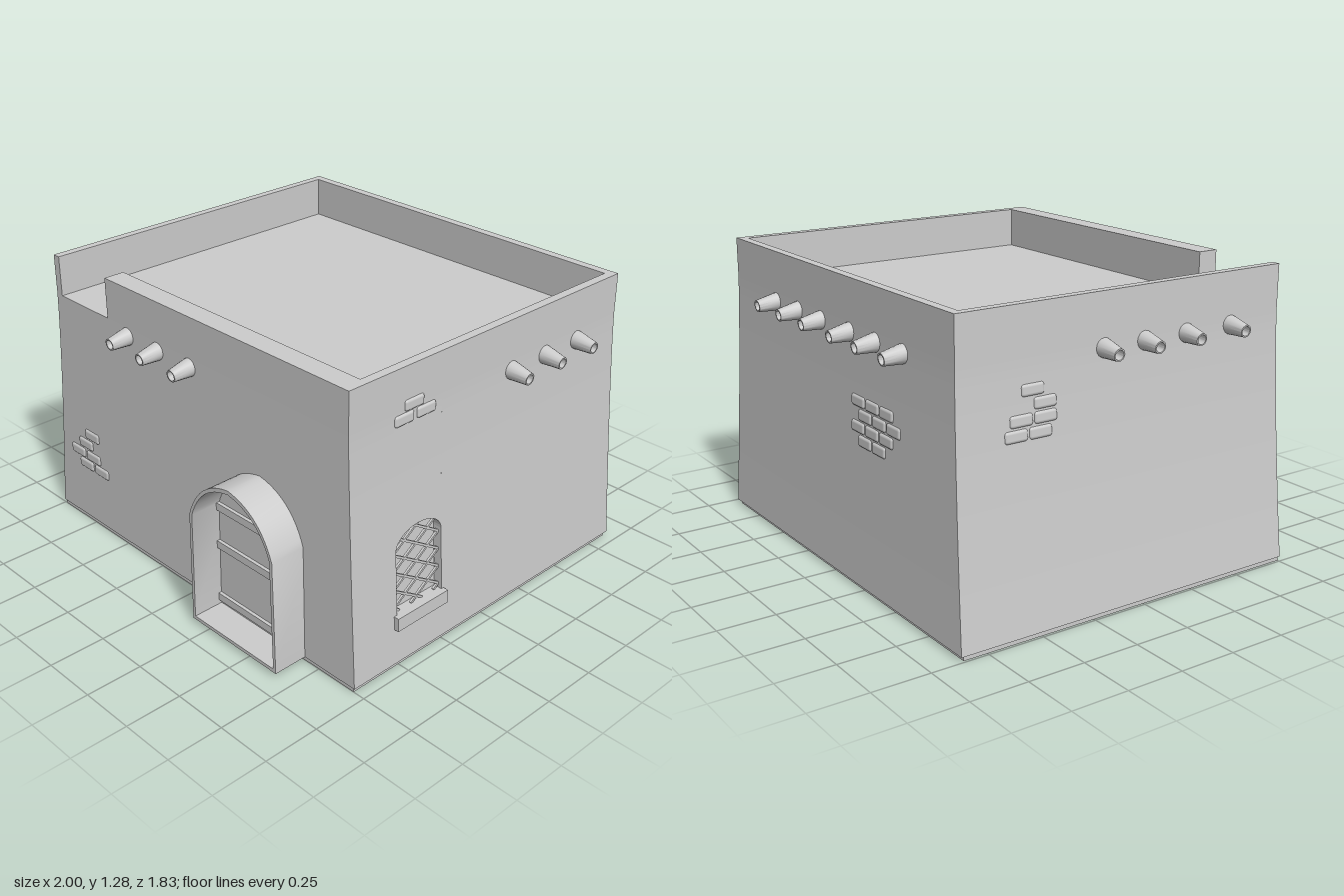
import * as THREE from 'three';
import { toCreasedNormals } from 'three/addons/utils/BufferGeometryUtils.js';
import { RoundedBoxGeometry } from 'three/addons/geometries/RoundedBoxGeometry.js';
import { ParametricGeometry } from 'three/addons/geometries/ParametricGeometry.js';

const grey = new THREE.MeshStandardMaterial({ color: 0xcccccc });
const greyDouble = new THREE.MeshStandardMaterial({ color: 0xcccccc, side: THREE.DoubleSide });

const ROOF = 1.1, TOP = 1.28, BASE = 0.02;
// Outward distance of each wall at height y: battered below the roof, upright above
const flare = (y, p) => Math.pow(Math.max(0, 1 - y / ROOF), p);
const walls = {
  front: { out: y => 0.745 + 0.01 * flare(y, 1), turn: 0 },
  right: { out: y => 0.9 + 0.055 * flare(y, 1.2), turn: Math.PI / 2 },
  back: { out: y => 0.828 + 0.042 * flare(y, 1.2), turn: Math.PI },
  left: { out: y => 0.905 + 0.095 * flare(y, 1.4), turn: -Math.PI / 2 },
};
const xR = walls.right.out, zF = walls.front.out;
const xL = y => -walls.left.out(y), zB = y => -walls.back.out(y);
const lerp = THREE.MathUtils.lerp;

// Window opening in the +x wall
const WIN = { z: 0.383, half: 0.128, sill: 0.24, spring: 0.52, rise: 0.08 };
const winTop = z => WIN.spring + WIN.rise * Math.sqrt(Math.max(0, 1 - ((z - WIN.z) / WIN.half) ** 2));

function add(parent, name, geometry, x = 0, y = 0, z = 0, material = grey) {
  const mesh = new THREE.Mesh(geometry, material);
  mesh.name = name;
  mesh.position.set(x, y, z);
  parent.add(mesh);
  return mesh;
}

function surface(parent, name, fn, nu, nv, material = grey) {
  return add(parent, name, new ParametricGeometry((u, v, p) => p.set(...fn(u, v)), nu, nv), 0, 0, 0, material);
}

// Group sitting on a wall, its z axis pointing outwards; along = world x or z
function onWall(parent, side, along, y) {
  const { out, turn } = walls[side];
  const g = new THREE.Group();
  const d = out(y);
  if (side === 'front' || side === 'back') g.position.set(along, y, side === 'front' ? d : -d);
  else g.position.set(side === 'right' ? d : -d, y, along);
  g.rotation.y = turn;
  parent.add(g);
  return g;
}

function buildWalls(root) {
  const g = new THREE.Group();
  g.name = 'walls';
  root.add(g);
  const h = v => lerp(BASE, ROOF, v);
  surface(g, 'frontWall', (u, v) => [lerp(xL(h(v)), xR(h(v)), u), h(v), zF(h(v))], 1, 12);
  surface(g, 'backWall', (u, v) => [lerp(xR(h(v)), xL(h(v)), u), h(v), zB(h(v))], 1, 12);
  surface(g, 'leftWall', (u, v) => [xL(h(v)), h(v), lerp(zB(h(v)), zF(h(v)), u)], 1, 12);
  // Right wall in four pieces around the window
  const zA = WIN.z + WIN.half, zC = WIN.z - WIN.half;
  surface(g, 'rightWallFront', (u, v) => [xR(h(v)), h(v), lerp(zF(h(v)), zA, u)], 1, 12);
  surface(g, 'rightWallRear', (u, v) => [xR(h(v)), h(v), lerp(zC, zB(h(v)), u)], 1, 12);
  surface(g, 'rightWallBelowWindow', (u, v) => {
    const y = lerp(BASE, WIN.sill, v);
    return [xR(y), y, lerp(zA, zC, u)];
  }, 1, 4);
  const acrossArch = u => WIN.z + WIN.half * Math.cos(Math.PI * u);
  surface(g, 'rightWallAboveWindow', (u, v) => {
    const z = acrossArch(u), y = lerp(winTop(z), ROOF, v);
    return [xR(y), y, z];
  }, 20, 10);

  // Roof, underside and footing
  surface(g, 'roof', (u, v) => [lerp(xL(ROOF), xR(ROOF), u), ROOF, lerp(zF(ROOF), zB(ROOF), v)], 1, 1);
  surface(g, 'underside', (u, v) => [lerp(xL(BASE), xR(BASE), u), BASE, lerp(zB(BASE), zF(BASE), v)], 1, 1);
  add(g, 'footing', new THREE.BoxGeometry(1.935, BASE, 1.605), -0.023, BASE / 2, -0.053);

  // Parapet running round the roof, open at the front left corner
  const a = { l: -0.905, r: 0.9, f: -0.745, b: 0.828 };
  const outline = [[a.l, a.f], [a.l, a.b], [a.r, a.b], [a.r, a.f], [-0.535, a.f], [-0.535, -0.65],
    [0.86, -0.65], [0.86, 0.788], [-0.868, 0.788], [-0.868, a.f]];
  const shape = new THREE.Shape(outline.map(p => new THREE.Vector2(...p)));
  const parapet = new THREE.ExtrudeGeometry(shape, { depth: TOP - ROOF, bevelEnabled: false });
  add(g, 'parapet', parapet.rotateX(-Math.PI / 2), 0, ROOF, 0);
}

function buildWindow(root) {
  const g = new THREE.Group();
  g.name = 'window';
  root.add(g);
  const depth = 0.04, z0 = WIN.z - WIN.half, z1 = WIN.z + WIN.half;
  // Opening edge: up one side, over the arch, down the other
  const edge = [[z1, WIN.sill]];
  for (let i = 0; i <= 20; i++) {
    const z = WIN.z + WIN.half * Math.cos(Math.PI * i / 20);
    edge.push([z, winTop(z)]);
  }
  edge.push([z0, WIN.sill], [z1, WIN.sill]);
  const n = edge.length - 1;
  surface(g, 'windowReveal', (u, v) => {
    const [z, y] = edge[Math.round(u * n)];
    return [xR(y) - depth * v, y, z];
  }, n, 1, greyDouble);
  surface(g, 'windowPane', (u, v) => {
    const z = WIN.z + WIN.half * Math.cos(Math.PI * u);
    const y = lerp(WIN.sill, winTop(z), v);
    return [xR(y) - depth, y, z];
  }, 20, 4);
  // Diamond lattice: each bar is cut to the opening
  const slope = 0.62, step = 0.08;
  for (const s of [-1, 1]) {
    for (let k = -3; k <= 7; k++) {
      const yAt = z => WIN.sill + k * step + 0.02 + s * slope * (z - WIN.z);
      const inside = [];
      for (let i = 0; i <= 80; i++) {
        const z = lerp(z0, z1, i / 80), y = yAt(z);
        if (y >= WIN.sill && y <= winTop(z)) inside.push(z);
      }
      if (inside.length < 4) continue;
      const [p, q] = [inside[0], inside[inside.length - 1]].map(z => new THREE.Vector3(xR(yAt(z)) - 0.02, yAt(z), z));
      const bar = add(g, 'latticeBar', new THREE.BoxGeometry(0.01, 0.01, p.distanceTo(q)));
      bar.position.copy(p).add(q).multiplyScalar(0.5);
      bar.lookAt(q);
    }
  }
  add(g, 'windowSill', new THREE.BoxGeometry(0.08, 0.06, 0.285), 0.925, 0.21, 0.385);
}

// Slightly pointed arch outline centred on x = 0
function arch(Type, foot, half, bottom, spring, peak) {
  const s = new Type();
  const cy = lerp(spring, peak, 0.88), cx = half * 0.74;
  s.moveTo(-foot, bottom);
  s.lineTo(foot, bottom);
  s.lineTo(half, spring);
  s.quadraticCurveTo(cx, cy, 0, peak);
  s.quadraticCurveTo(-cx, cy, -half, spring);
  s.closePath();
  return s;
}

function buildDoor(root) {
  const g = new THREE.Group();
  g.name = 'door';
  g.position.x = 0.42;
  root.add(g);
  const frame = arch(THREE.Shape, 0.255, 0.245, 0.02, 0.53, 0.74);
  frame.holes.push(arch(THREE.Path, 0.24, 0.23, 0.036, 0.53, 0.722));
  const frameGeo = new THREE.ExtrudeGeometry(frame, { depth: 0.19, bevelEnabled: false, curveSegments: 12 });
  add(g, 'doorFrame', toCreasedNormals(frameGeo, 0.4), 0, 0, 0.72);
  const panel = arch(THREE.Shape, 0.24, 0.23, 0.036, 0.53, 0.722);
  add(g, 'doorPanel', new THREE.ExtrudeGeometry(panel, { depth: 0.05, bevelEnabled: false, curveSegments: 12 }), 0, 0, 0.72);
  for (const [y, w] of [[0.518, 0.46], [0.335, 0.468], [0.075, 0.476]])
    add(g, 'doorBand', new THREE.BoxGeometry(w, 0.034, 0.02), 0, y, 0.775);
  add(g, 'ringMount', new THREE.SphereGeometry(0.014, 12, 8), 0.135, 0.335, 0.788);
  add(g, 'doorRing', new THREE.TorusGeometry(0.028, 0.005, 8, 24), 0.135, 0.306, 0.793);
}

function buildSpouts(root) {
  // Tapered spout with a hollow end
  const profile = [[0.041, -0.03], [0.038, 0.01], [0.026, 0.092], [0.02, 0.092], [0.02, 0.05], [0, 0.05]];
  const geo = toCreasedNormals(new THREE.LatheGeometry(profile.map(p => new THREE.Vector2(...p)), 16), 0.6);
  const places = {
    front: [-0.4, -0.2, 0.005],
    right: [-0.57, -0.363, -0.155],
    back: [-0.55, -0.345, -0.14, 0.1, 0.305, 0.51],
    left: [-0.16, 0.04, 0.25, 0.485],
  };
  for (const side in places) {
    for (const along of places[side]) {
      const g = onWall(root, side, along, 1.06);
      g.name = side + 'Spout';
      add(g, 'spout', geo, 0, 0, 0, greyDouble).rotation.x = Math.PI / 2 + 0.1;
    }
  }
}

function buildBricks(root) {
  const geo = new RoundedBoxGeometry(0.104, 0.049, 0.03, 2, 0.013);
  // Patches of exposed bricks: [along, y] of each centre
  const patches = {
    front: [[-0.72, 0.463], [-0.772, 0.408], [-0.835, 0.353], [-0.72, 0.353], [-0.777, 0.302], [-0.663, 0.302]],
    right: [[0.407, 1.118], [0.46, 1.068], [0.342, 1.068]],
    back: [],
    left: [[-0.495, 0.955], [-0.44, 0.9], [-0.55, 0.845], [-0.44, 0.845], [-0.575, 0.79], [-0.465, 0.79]],
  };
  for (let row = 0; row < 4; row++)
    for (let i = 0; i < (row === 3 ? 2 : 3); i++)
      patches.back.push([-0.24 - i * 0.11 + (row % 2 ? -0.03 : 0.025), 0.795 - row * 0.053]);
  for (const side in patches) {
    for (const [along, y] of patches[side]) {
      const g = onWall(root, side, along, y);
      g.name = side + 'Brick';
      const { out } = walls[side];
      add(g, 'brick', geo, 0, 0, -0.007).rotation.x = -Math.atan((out(y - 0.02) - out(y + 0.02)) / 0.04);
    }
  }
}

export function createModel() {
  const root = new THREE.Group();
  root.name = 'adobeHouse';
  buildWalls(root);
  buildWindow(root);
  buildDoor(root);
  buildSpouts(root);
  buildBricks(root);
  return root;
}
